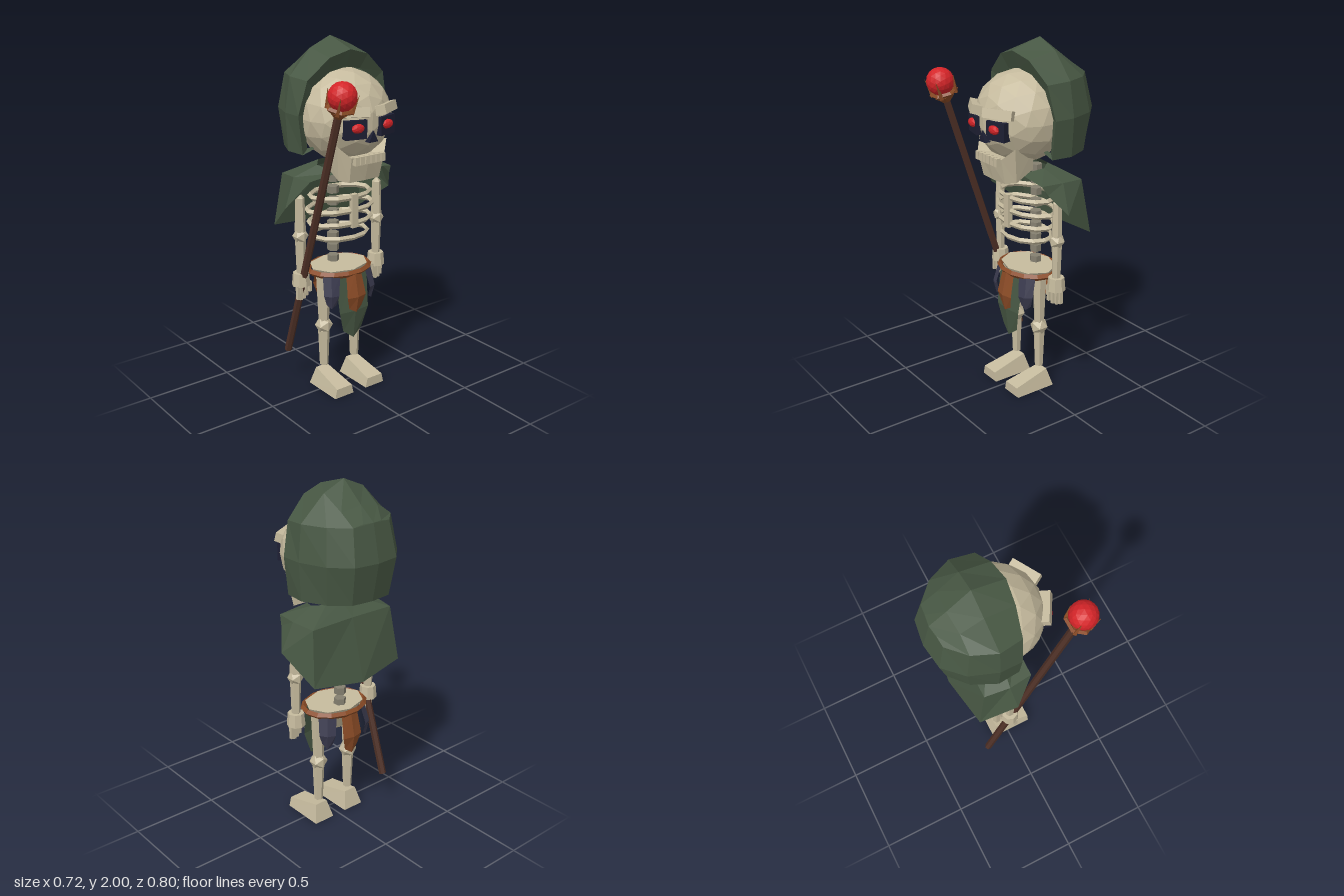
import * as THREE from 'three';

const mat = (name, color) => {
  const m = new THREE.MeshStandardMaterial({ color, flatShading: true, side: THREE.DoubleSide });
  m.name = name;
  return m;
};

export function createModel() {
  const root = new THREE.Group();
  root.name = 'skeletonMage';
  const bone = mat('bone', 0xc6bb9e), darkBone = mat('darkBone', 0x858070);
  const green = mat('greenCloth', 0x475743), navy = mat('navyCloth', 0x3a3a4e);
  const leather = mat('leather', 0x8a4b26), wood = mat('darkWood', 0x4e3026);
  const red = mat('glowRed', 0xd42428), dark = mat('socketDark', 0x1d1f33);

  const add = (name, geo, material, pos = [0, 0, 0], parent = root) => {
    const m = new THREE.Mesh(geo, material);
    m.name = name;
    m.position.set(...pos);
    parent.add(m);
    return m;
  };
  const box = (w, h, d) => new THREE.BoxGeometry(w, h, d);
  const cyl = (rt, rb, h, n = 6) => new THREE.CylinderGeometry(rt, rb, h, n);
  const ball = (r, detail = 0) => new THREE.IcosahedronGeometry(r, detail);

  // Surface through rows of points
  const grid = (rows) => {
    const n = rows[0].length, idx = [];
    for (let r = 0; r < rows.length - 1; r++)
      for (let c = 0; c < n - 1; c++) {
        const a = r * n + c, b = a + n;
        idx.push(a, b, a + 1, b, b + 1, a + 1);
      }
    const g = new THREE.BufferGeometry();
    g.setAttribute('position', new THREE.Float32BufferAttribute(rows.flat(2), 3));
    g.setIndex(idx);
    const out = g.toNonIndexed();
    out.computeVertexNormals();
    return out;
  };
  // Half a row, ending on x = 0, completed by its mirror
  const mirror = (half) => [...half, ...half.slice(0, -1).reverse().map(([x, y, z]) => [-x, y, z])];

  // Skull
  add('skull', ball(1, 2), bone, [0, 1.595, 0]).scale.set(0.26, 0.25, 0.25);
  add('jaw', grid([
    mirror([[0.13, 1.45, 0.1], [0.08, 1.4, 0.14], [0, 1.4, 0.14]]),
    mirror([[0.165, 1.47, 0.16], [0.11, 1.41, 0.21], [0, 1.405, 0.22]]),
    mirror([[0.135, 1.275, 0.13], [0.1, 1.27, 0.18], [0, 1.27, 0.185]]),
    mirror([[0.13, 1.33, 0.03], [0.09, 1.34, 0.04], [0, 1.34, 0.04]]),
    mirror([[0.13, 1.45, 0.1], [0.08, 1.4, 0.14], [0, 1.4, 0.14]]),
  ]), bone);
  for (const s of [-1, 1])
    add('jawHinge', grid([
      [[s * 0.165, 1.47, 0.16], [s * 0.135, 1.275, 0.13]],
      [[s * 0.15, 1.45, 0.03], [s * 0.13, 1.33, 0.02]],
    ]), bone);
  for (let i = 0; i < 6; i++)
    add('tooth', box(0.027, 0.045, 0.03), bone, [(i - 2.5) * 0.034, 1.393, 0.217]);
  const nose = new THREE.Shape([[-0.03, 0], [0.03, 0], [0, 0.06]].map(p => new THREE.Vector2(...p)));
  add('nose', new THREE.ExtrudeGeometry(nose, { depth: 0.04, bevelEnabled: false }), dark, [0, 1.49, 0.215]);
  for (const s of [-1, 1]) {
    add('eyeSocket', box(0.12, 0.1, 0.08), dark, [s * 0.095, 1.565, 0.205]).rotation.y = s * 0.25;
    const eye = add('eye', ball(1, 1), red, [s * 0.095, 1.573, 0.245]);
    eye.scale.set(0.04, 0.026, 0.02);
    add('brow', box(0.165, 0.05, 0.06), bone, [s * 0.108, 1.652, 0.22]).rotation.set(-0.3, s * 0.5, s * 0.13);
  }

  // Hood: arches stepping backwards, with a lip and turned-in hem
  const arches = [
    [[0.22, 1.43, -0.03], [0.245, 1.62, -0.02], [0.205, 1.76, 0], [0.1, 1.83, 0.01], [0, 1.85, 0.02]],
    [[0.27, 1.41, 0], [0.295, 1.62, 0], [0.25, 1.8, 0.02], [0.125, 1.91, 0.045], [0, 1.945, 0.06]],
    [[0.28, 1.41, -0.12], [0.295, 1.62, -0.12], [0.27, 1.81, -0.11], [0.13, 1.945, -0.12], [0, 2, -0.12]],
    [[0.22, 1.41, -0.25], [0.24, 1.62, -0.27], [0.215, 1.81, -0.24], [0.12, 1.87, -0.24], [0, 1.89, -0.25]],
    [[0.125, 1.41, -0.335], [0.14, 1.62, -0.37], [0.12, 1.81, -0.33], [0.06, 1.82, -0.335], [0, 1.82, -0.345]],
    [[0, 1.41, -0.35], [0, 1.62, -0.39], [0, 1.82, -0.345], [0, 1.82, -0.345], [0, 1.82, -0.345]],
  ];
  add('hood', grid(arches.map(a => {
    const [x, y, z] = a[0];
    return mirror([[x * 0.75, y + 0.02, z * 0.72], ...a]);
  })), green);

  // Shoulder cape
  add('cape', grid([
    mirror([[0.09, 1.3, 0.07], [0.15, 1.33, -0.04], [0.1, 1.34, -0.1], [0, 1.34, -0.11]]),
    mirror([[0.275, 1.28, 0.07], [0.29, 1.28, -0.06], [0.27, 1.27, -0.2], [0, 1.275, -0.2]]),
    mirror([[0.29, 1.23, 0.04], [0.358, 1.12, -0.045], [0.3, 0.965, -0.245], [0, 0.93, -0.29]]),
  ]), green);

  // Spine, ribs and breastbone
  for (let i = 0; i < 9; i++)
    add('vertebra', cyl(0.034, 0.034, 0.04), darkBone, [0, 0.745 + i * 0.068, -0.1]);
  [[1.15, 0.2], [1.075, 0.225], [1, 0.21], [0.92, 0.18]].forEach(([y, r]) => {
    const rib = add('rib', new THREE.TorusGeometry(1, 0.08, 4, 12).rotateX(Math.PI / 2), bone, [0, y, -0.035]);
    rib.scale.set(r * 0.93, 0.2, 0.125);
  });
  add('breastbone', box(0.04, 0.19, 0.03), bone, [0, 1.075, 0.09]);

  // Arms, hands, legs and feet
  for (const s of [-1, 1]) {
    const arm = new THREE.Group();
    arm.name = s > 0 ? 'leftArm' : 'rightArm';
    arm.position.set(s * 0.265, 0, -0.042);
    root.add(arm);
    add('upperArm', cyl(0.025, 0.031, 0.19), bone, [0, 1.07, 0], arm);
    add('shoulderTip', cyl(0.008, 0.025, 0.02), bone, [0, 1.175, 0], arm);
    add('elbow', ball(0.045), bone, [0, 0.95, 0], arm);
    add('forearm', cyl(0.03, 0.024, 0.2), bone, [0, 0.83, 0], arm);
    add('hand', cyl(0.045, 0.052, 0.075, 8), bone, [0, 0.7, 0], arm);
    for (let i = 0; i < 4; i++)
      add('finger', box(0.016, 0.08, 0.02), bone, [(i - 1.5) * 0.024, 0.63 - (i % 3 ? 0.01 : 0), 0.02 - i * 0.008], arm);
    add('thumb', box(0.016, 0.06, 0.018), bone, [-s * 0.045, 0.65, 0.02], arm);

    const leg = new THREE.Group();
    leg.name = s > 0 ? 'leftLeg' : 'rightLeg';
    leg.position.set(s * 0.11, 0, -0.045);
    root.add(leg);
    add('thigh', cyl(0.042, 0.03, 0.28), bone, [0, 0.54, 0], leg);
    add('knee', ball(0.052), bone, [0, 0.375, 0], leg);
    add('shin', cyl(0.034, 0.025, 0.22), bone, [0, 0.235, 0], leg);

    // Foot: wedge tapering upwards, lower at the toes
    const foot = box(0.13, 0.1, 0.25), p = foot.attributes.position;
    for (let i = 0; i < p.count; i++)
      if (p.getY(i) > 0) {
        const toe = p.getZ(i) > 0;
        p.setX(i, p.getX(i) * (toe ? 0.8 : 0.6));
        p.setY(i, toe ? 0.005 : 0.055);
        if (!toe) p.setZ(i, -0.095);
      }
    foot.computeVertexNormals();
    add('foot', foot, bone, [0, 0.05, 0.07], leg);
  }

  // Pelvis and belt
  add('pelvis', cyl(0.18, 0.07, 0.15, 8), bone, [0, 0.655, -0.05]).scale.z = 0.78;
  const belt = add('belt', new THREE.TorusGeometry(0.185, 0.018, 4, 14).rotateX(Math.PI / 2), leather, [0, 0.71, -0.05]);
  belt.scale.z = 0.8;

  // Hanging cloths: angled tips, bowed outwards
  const panel = (name, m, x, z, turn, wTop, wLow, len, tip) => {
    const h = len - tip;
    const row = (w, y, d) => [[-w, y, d - 0.015], [0, y, d], [w, y, d - 0.015]];
    const end = row(wLow * 0.65, -h, 0.015);
    end[1] = [0, -len, 0.01];
    const g = grid([row(wTop, 0, 0), row(wLow, -h * 0.65, 0.03), end]);
    add(name, g, m, [x, 0.71, z]).rotation.y = turn;
  };
  panel('frontCloth', green, 0, 0.08, 0, 0.11, 0.1, 0.395, 0.05);
  panel('frontFlap', leather, 0, 0.105, 0, 0.052, 0.064, 0.23, 0.025);
  panel('backFlap', leather, 0, -0.195, Math.PI, 0.055, 0.065, 0.25, 0.03);
  for (const s of [-1, 1]) {
    panel('sideFrontCloth', navy, s * 0.135, 0.065, s * 0.6, 0.048, 0.042, 0.19, 0.02);
    panel('sideBackCloth', navy, s * 0.135, -0.155, Math.PI - s * 0.7, 0.05, 0.045, 0.2, 0.03);
  }

  // Staff leaning forward, with clawed orb
  const staff = new THREE.Group();
  staff.name = 'staff';
  staff.position.set(-0.265, 0.21, -0.185);
  staff.rotation.x = 0.322;
  root.add(staff);
  add('shaft', cyl(0.021, 0.021, 1.55), wood, [0, 0.775, 0], staff);
  add('clawBase', cyl(0.06, 0.022, 0.04), leather, [0, 1.55, 0], staff);
  add('clawRing', new THREE.TorusGeometry(0.066, 0.013, 4, 6).rotateX(Math.PI / 2), leather, [0, 1.585, 0], staff);
  for (let i = 0; i < 4; i++) {
    const a = Math.PI / 4 + i * Math.PI / 2;
    const prong = add('prong', new THREE.ConeGeometry(0.014, 0.11, 4), leather,
      [Math.cos(a) * 0.072, 1.625, Math.sin(a) * 0.072], staff);
    prong.rotation.set(Math.sin(a) * 0.15, 0, -Math.cos(a) * 0.15);
  }
  add('orb', ball(0.075, 2), red, [0, 1.648, 0], staff);

  return root;
}
